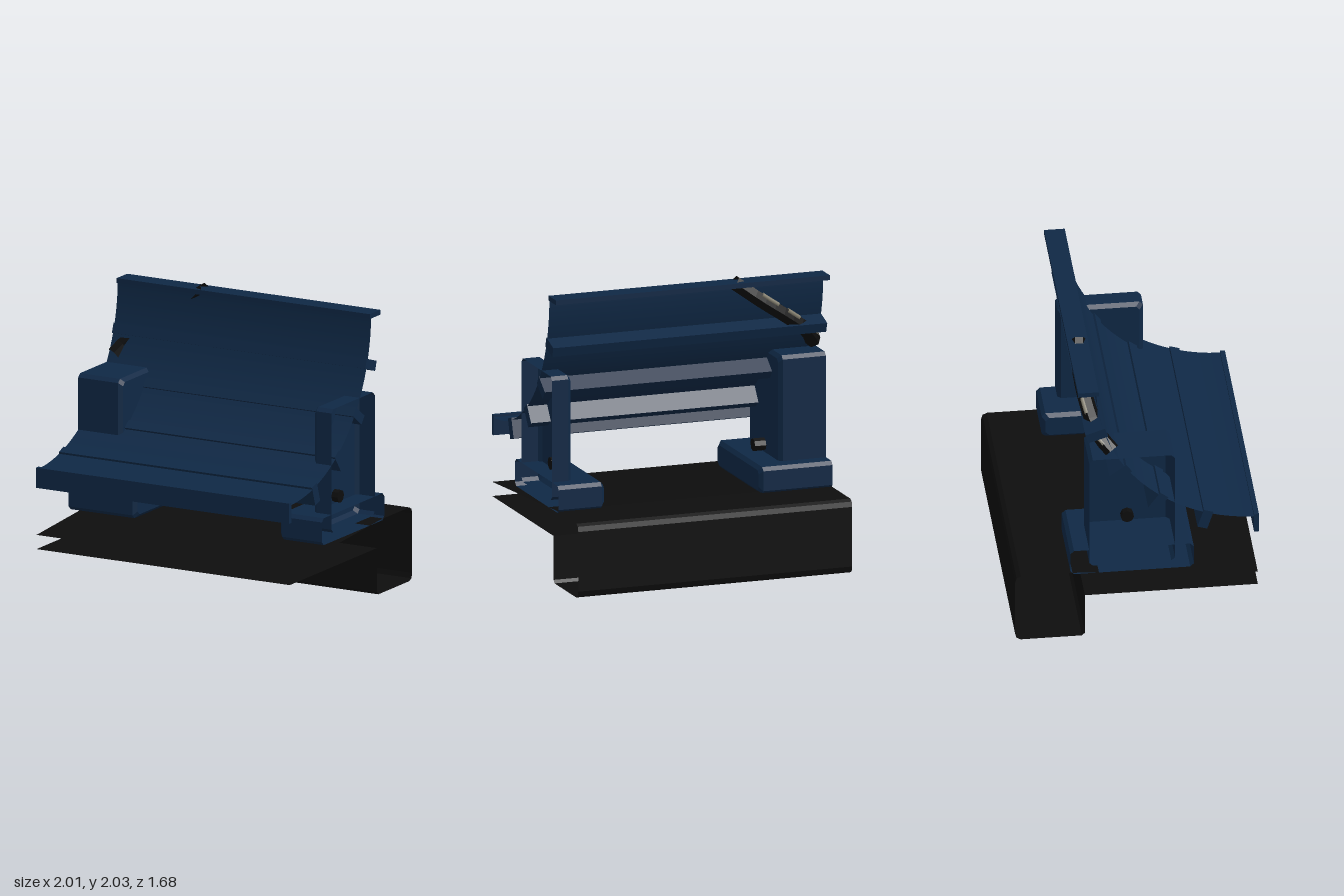
import * as THREE from 'three';

const mat = (name, color) => {
  const m = new THREE.MeshStandardMaterial({ color, side: THREE.DoubleSide });
  m.name = name;
  return m;
};

// Surface through matching open or closed cross-sections of [x, y, z] points
function loft(sections, closed, cap) {
  const pos = [];
  const tri = (a, b, c) => pos.push(...a, ...b, ...c);
  for (let i = 0; i < sections.length - 1; i++) {
    const p = sections[i], q = sections[i + 1], n = p.length;
    for (let j = 0; j < (closed ? n : n - 1); j++) {
      const k = (j + 1) % n;
      tri(p[j], q[j], q[k]);
      tri(p[j], q[k], p[k]);
    }
  }
  if (cap) {
    const e = sections[sections.length - 1];
    for (let j = 1; j < e.length - 1; j++) tri(e[0], e[j], e[j + 1]);
  }
  const g = new THREE.BufferGeometry();
  g.setAttribute('position', new THREE.Float32BufferAttribute(pos, 3));
  g.computeVertexNormals();
  return g;
}

// Hollow block, open at xOut and closed with a bevel at xIn
function openBlock(xOut, xIn, y0, y1, z0, z1, b = 0.025) {
  const loop = (x, d) => {
    const [a, c, e, f] = [y0 + d, y1 - d, z0 + d, z1 - d];
    return [[a, e + b], [a + b, e], [c - b, e], [c, e + b], [c, f - b], [c - b, f], [a + b, f], [a, f - b]]
      .map(([y, z]) => [x, y, z]);
  };
  const s = Math.sign(xOut);
  return loft([loop(xOut, 0), loop(xIn + s * b, 0), loop(xIn, b)], true, true);
}

export function createModel() {
  const root = new THREE.Group();
  const navy = mat('navy', 0x0f2845);
  const black = mat('black', 0x0d0d0d);
  const grey = mat('grey', 0x85806f);
  const add = (name, geo, m, parent = root) => {
    const mesh = new THREE.Mesh(geo, m);
    mesh.name = name;
    parent.add(mesh);
    return mesh;
  };

  // Curved quarter-round panel, centred on the arc centre (y CY, z CZ)
  const CY = 2, CZ = 0.83, R = 1.11;
  const panel = new THREE.CylinderGeometry(R, R, 2, 32, 1, true, 0, Math.PI / 2);
  panel.rotateZ(Math.PI / 2);
  // Keep the quarter that lies below and behind the arc centre
  const p = panel.attributes.position, nrm = panel.attributes.normal;
  for (let i = 0; i < p.count; i++) {
    p.setY(i, -Math.abs(p.getY(i)));
    p.setZ(i, -Math.abs(p.getZ(i)));
    nrm.setXYZ(i, 0, p.getY(i) / R, p.getZ(i) / R);
  }
  // Order corners so that faces agree with the outward normals
  const idx = panel.index, a = new THREE.Vector3(), b = new THREE.Vector3(), c = new THREE.Vector3();
  for (let i = 0; i < idx.count; i += 3) {
    a.fromBufferAttribute(p, idx.getX(i));
    b.fromBufferAttribute(p, idx.getX(i + 1));
    c.fromBufferAttribute(p, idx.getX(i + 2));
    if (b.sub(a).cross(c.sub(a)).dot(a) < 0) {
      const t = idx.getX(i + 1);
      idx.setX(i + 1, idx.getX(i + 2));
      idx.setX(i + 2, t);
    }
  }
  panel.translate(0, CY, CZ);
  add('curvedPanel', panel, navy);

  // Lengthwise ribs every 18 degrees; the first and last are half ribs
  const ribs = new THREE.Group();
  ribs.name = 'ribs';
  root.add(ribs);
  for (let i = 0; i <= 5; i++) {
    const t = i * Math.PI / 10, r = 1.165;
    const half = i === 0 || i === 5;
    const rib = add('rib', new THREE.BoxGeometry(2, half ? 0.034 : 0.07, 0.142), navy, ribs);
    rib.position.set(0, CY - r * Math.sin(t), CZ - r * Math.cos(t));
    rib.rotation.x = -t;
    if (i === 0) rib.position.y -= 0.017;
    if (i === 5) rib.position.z -= 0.009;
  }

  // Pillars, feet and pivot bolts at both ends
  const ends = [
    { name: 'right', s: -1, pillar: -0.66, foot: -0.47 },
    { name: 'left', s: 1, pillar: 0.855, foot: 0.66 },
  ];
  for (const e of ends) {
    add(e.name + 'Pillar', openBlock(e.s, e.pillar, 0.57, 1.44, -0.33, 0.26), navy);
    add(e.name + 'Foot', openBlock(e.s, e.foot, 0.51, 0.70, -0.46, 0.39), navy);
    const bolt = add(e.name + 'Bolt', new THREE.CylinderGeometry(0.045, 0.045, 0.13, 8).toNonIndexed(), black);
    bolt.geometry.computeVertexNormals();
    bolt.rotation.z = Math.PI / 2;
    bolt.position.set(e.pillar - e.s * 0.017, 0.755, -0.033);
  }

  // Base shell: deep rear beam with a thin front shelf, open at front and ends
  const profile = [
    [0.83, 0.33], [-0.36, 0.33], [-0.36, 0.02], [-0.38, 0], [-0.80, 0], [-0.83, 0.015], [-0.84, 0.05],
    [-0.84, 0.47], [-0.83, 0.505], [-0.80, 0.52], [-0.40, 0.52], [0.83, 0.43],
  ];
  add('base', loft([-1, 1].map(x => profile.map(([z, y]) => [x, y, z])), false, false), black);

  // Cable running along the back of the panel
  const path = new THREE.CatmullRomCurve3([
    [-0.33, 1.99, -0.325], [-0.52, 1.85, -0.335], [-0.74, 1.7, -0.305], [-0.9, 1.58, -0.25], [-0.965, 1.49, -0.17],
  ].map(v => new THREE.Vector3(...v)));
  const cable = new THREE.TubeGeometry(path, 10, 0.055, 6, false).toNonIndexed();
  cable.computeVertexNormals();
  add('cable', cable, black);

  // Worn grey strips on the cable
  for (const [t0, t1] of [[0.22, 0.36], [0.44, 0.56], [0.82, 0.92]]) {
    const pts = [t0, (t0 + t1) / 2, t1].map(t =>
      path.getPoint(t).add(new THREE.Vector3(-0.025, 0.03, -0.03)));
    add('cableStrip', new THREE.TubeGeometry(new THREE.CatmullRomCurve3(pts), 4, 0.016, 5, false), grey);
  }
  return root;
}
